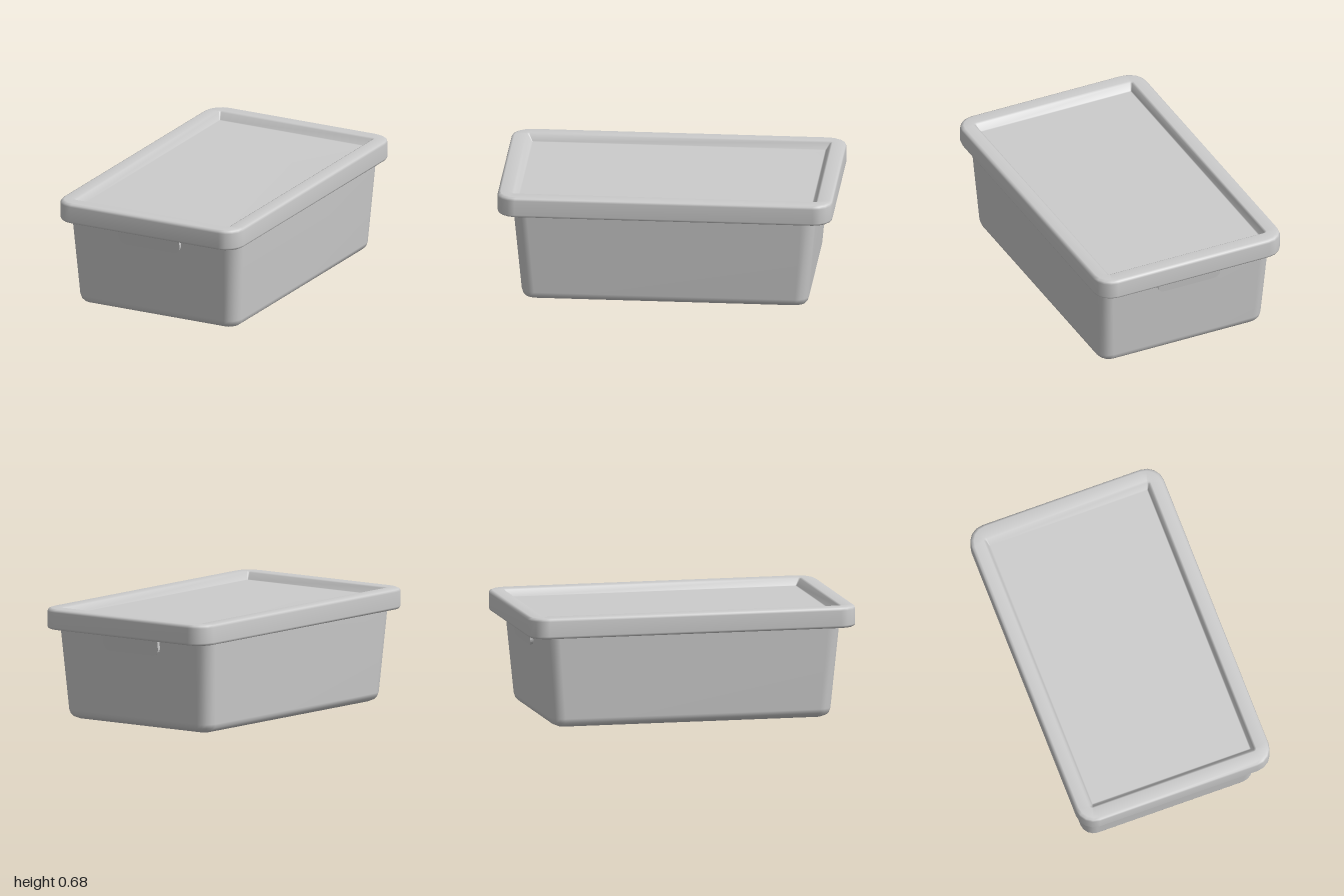
import * as THREE from 'three';

const material = new THREE.MeshStandardMaterial({ color: 0xcccccc, side: THREE.DoubleSide });
const CORNER_STEPS = 4;

// Rounded rectangle outline in the xz plane
function ring(hx, hz, r, y) {
  const pts = [];
  [[1, 1], [-1, 1], [-1, -1], [1, -1]].forEach(([sx, sz], q) => {
    for (let i = 0; i <= CORNER_STEPS; i++) {
      const a = (q + i / CORNER_STEPS) * Math.PI / 2;
      pts.push(sx * (hx - r) + r * Math.cos(a), y, sz * (hz - r) + r * Math.sin(a));
    }
  });
  return pts;
}

// Skin over rounded rectangles [halfX, halfZ, radius, y], with optional end caps
function loft(name, sections, capStart, capEnd) {
  const n = 4 * (CORNER_STEPS + 1), pos = [], idx = [];
  sections.forEach(([hx, hz, r, y]) => pos.push(...ring(hx, hz, r, y)));
  for (let s = 0; s < sections.length - 1; s++) {
    for (let i = 0; i < n; i++) {
      const j = (i + 1) % n, a = s * n + i, b = s * n + j;
      idx.push(a, a + n, b, b, a + n, b + n);
    }
  }
  const cap = (s, flip) => {
    const c = pos.length / 3;
    pos.push(0, sections[s][3], 0);
    for (let i = 0; i < n; i++) {
      const a = s * n + i, b = s * n + (i + 1) % n;
      idx.push(c, flip ? b : a, flip ? a : b);
    }
  };
  if (capStart) cap(0, false);
  if (capEnd) cap(sections.length - 1, true);
  const geo = new THREE.BufferGeometry();
  geo.setAttribute('position', new THREE.Float32BufferAttribute(pos, 3));
  geo.setIndex(idx);
  geo.computeVertexNormals();
  const mesh = new THREE.Mesh(geo, material);
  mesh.name = name;
  return mesh;
}

// Tab with rounded lower corners, leaning outwards towards its top
function handleGeometry() {
  const w = 0.205, h = 0.12, r = 0.05, depth = 0.05;
  const s = new THREE.Shape();
  s.moveTo(-w, h);
  s.lineTo(-w, r);
  s.quadraticCurveTo(-w, 0, -w + r, 0);
  s.lineTo(w - r, 0);
  s.quadraticCurveTo(w, 0, w, r);
  s.lineTo(w, h);
  const geo = new THREE.ExtrudeGeometry(s, { depth, bevelEnabled: false, curveSegments: 6 });
  return geo.translate(0, 0, -depth).rotateX(0.15);
}

export function createModel() {
  const model = new THREE.Group();
  model.name = 'storageBox';

  // Tapered tub with a rounded foot
  model.add(loft('tub', [
    [0.48, 0.80, 0.03, 0],
    [0.515, 0.836, 0.06, 0.014],
    [0.533, 0.85, 0.075, 0.03],
    [0.541, 0.858, 0.08, 0.055],
    [0.573, 0.905, 0.085, 0.56],
  ], true, false));

  // Overhanging lid: underside, outer rim, rounded top edge, sunken panel
  model.add(loft('lid', [
    [0.55, 0.88, 0.07, 0.55],
    [0.598, 0.987, 0.10, 0.55],
    [0.607, 0.996, 0.11, 0.555],
    [0.611, 1.00, 0.11, 0.566],
    [0.611, 1.00, 0.11, 0.655],
    [0.606, 0.995, 0.11, 0.668],
    [0.592, 0.981, 0.10, 0.675],
    [0.53, 0.915, 0.02, 0.675],
    [0.517, 0.903, 0.01, 0.668],
    [0.505, 0.88, 0.005, 0.63],
    [0.498, 0.872, 0.005, 0.628],
  ], false, true));

  // Handles under the lid at both ends
  const tab = handleGeometry();
  for (const side of [1, -1]) {
    const end = new THREE.Group();
    end.name = side > 0 ? 'frontHandle' : 'backHandle';
    const mesh = new THREE.Mesh(tab, material);
    mesh.name = 'handleTab';
    mesh.position.set(-0.01 * side, 0.45, 0.912);
    end.add(mesh);
    if (side < 0) end.rotation.y = Math.PI;
    model.add(end);
  }
  return model;
}
